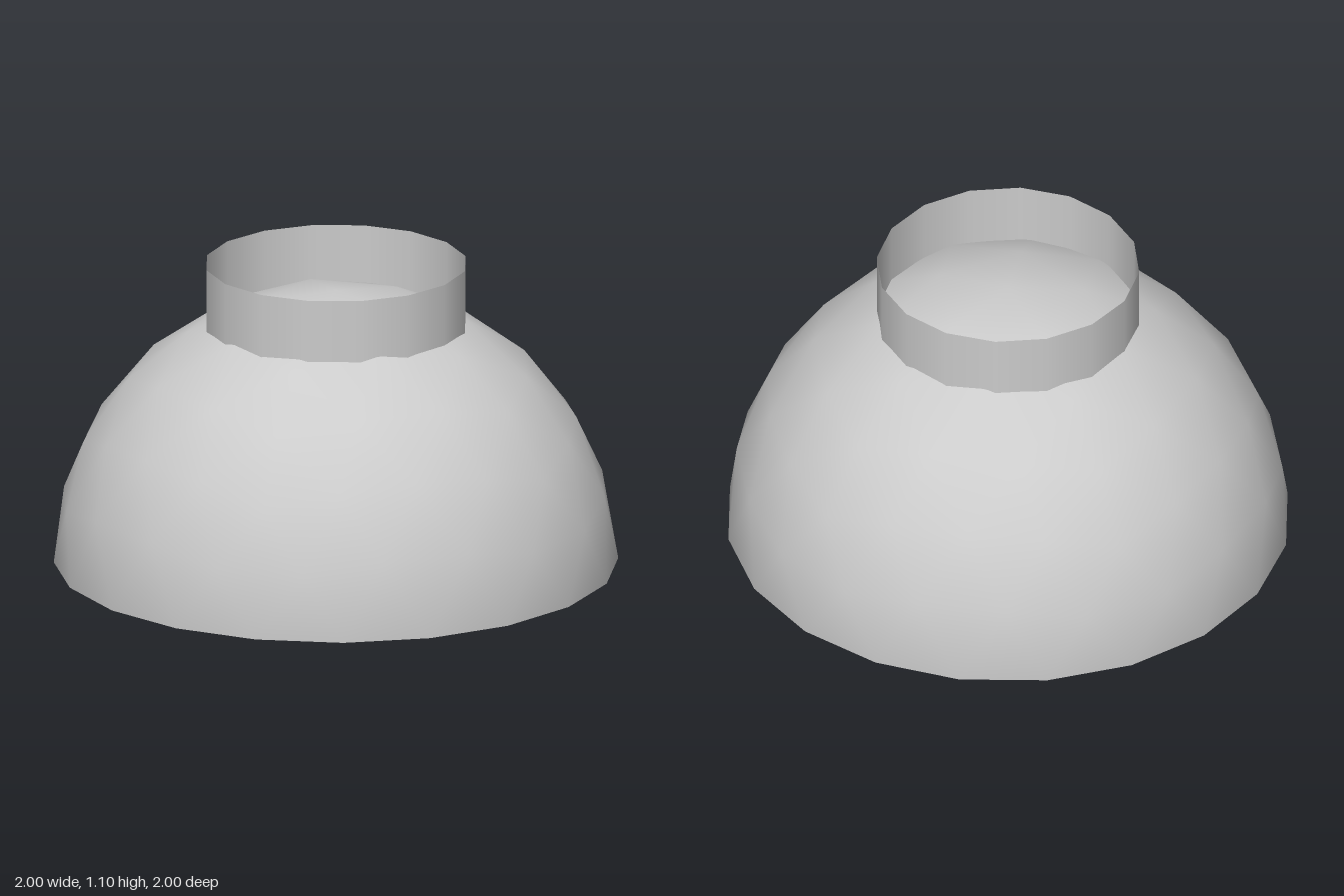
import * as THREE from 'three';

const material = new THREE.MeshStandardMaterial({ color: 0xcccccc, side: THREE.DoubleSide });

// Upper half of a geodesic sphere standing on one of its poles, open at the equator
function geodesicDome(depth) {
  const ringVertex = (degrees, y) => {
    const a = THREE.MathUtils.degToRad(degrees);
    const r = Math.sqrt(1 - y * y);
    return new THREE.Vector3(r * Math.cos(a), y, -r * Math.sin(a));
  };
  const h = 1 / Math.sqrt(5);
  const pole = new THREE.Vector3(0, 1, 0);
  const positions = [];

  const mid = (a, b) => a.clone().add(b).normalize();
  const split = (a, b, c, level) => {
    if (level === 0) {
      if (Math.min(a.y, b.y, c.y) > -1e-4) {
        for (const v of [a, b, c]) positions.push(v.x, v.y, v.z);
      }
      return;
    }
    const ab = mid(a, b), bc = mid(b, c), ca = mid(c, a);
    split(a, ab, ca, level - 1);
    split(ab, b, bc, level - 1);
    split(ca, bc, c, level - 1);
    split(ab, bc, ca, level - 1);
  };

  for (let i = 0; i < 5; i++) {
    const a = 72 * i;
    const u0 = ringVertex(a, h), u1 = ringVertex(a + 72, h);
    const l0 = ringVertex(a + 36, -h), l1 = ringVertex(a + 108, -h);
    split(pole, u0, u1, depth); // cap
    split(u0, l0, u1, depth);   // middle band
    split(u1, l0, l1, depth);
  }

  const geometry = new THREE.BufferGeometry();
  geometry.setAttribute('position', new THREE.Float32BufferAttribute(positions, 3));
  // On a unit sphere the smooth normals equal the positions
  geometry.setAttribute('normal', new THREE.Float32BufferAttribute(positions, 3));
  return geometry;
}

export function createModel() {
  const model = new THREE.Group();

  const dome = new THREE.Mesh(geodesicDome(2), material);
  dome.name = 'dome';
  model.add(dome);

  // Open tube that passes through the dome and hangs a little inside it
  const top = 1.1, bottom = 0.72;
  const collar = new THREE.Mesh(
    new THREE.CylinderGeometry(0.467, 0.467, top - bottom, 16, 1, true), material);
  collar.position.y = (top + bottom) / 2;
  collar.name = 'collar';
  model.add(collar);

  return model;
}
